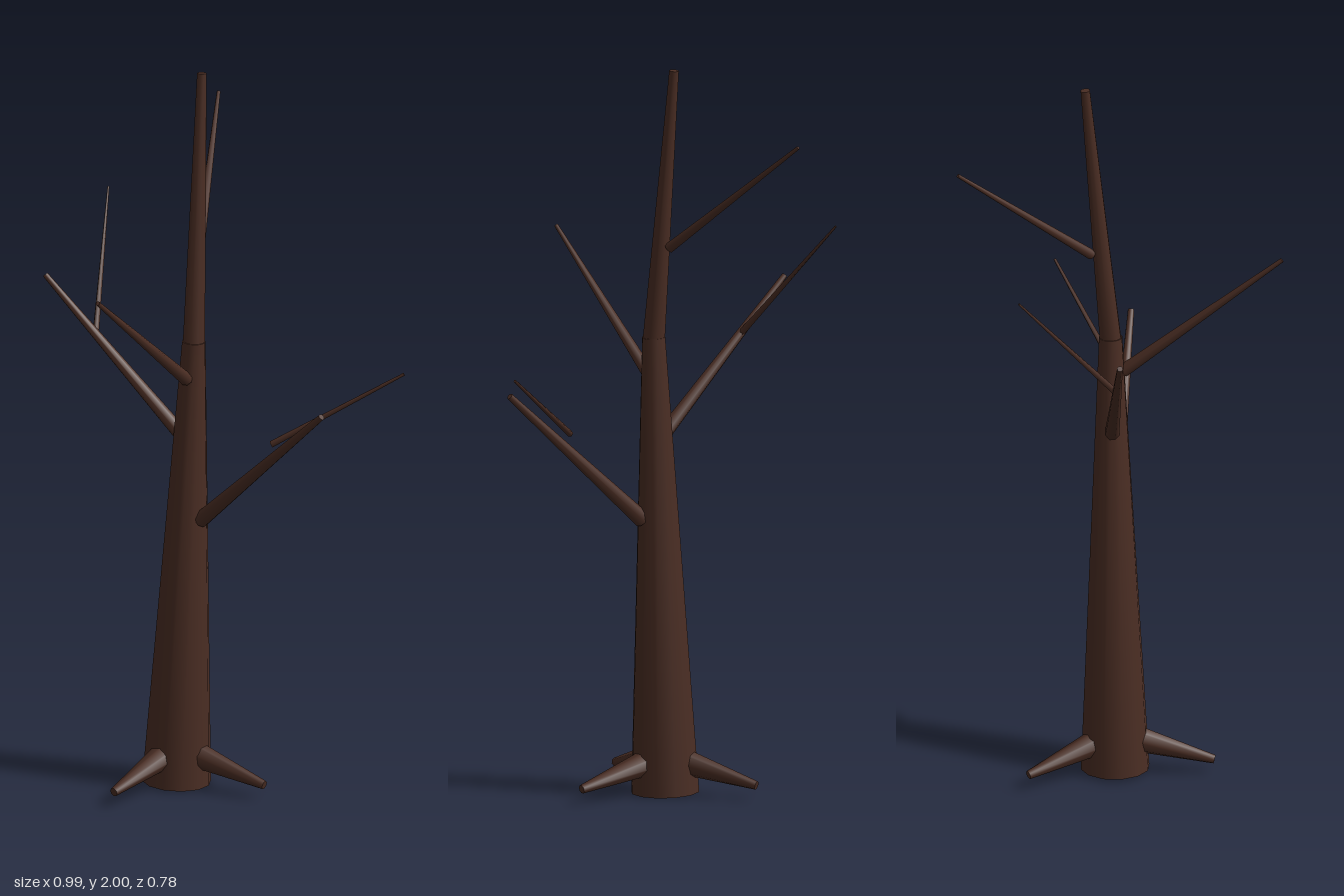
import * as THREE from 'three';

export function createModel() {
  const group = new THREE.Group();
  const bark = new THREE.MeshStandardMaterial({ color: 0x4a2d23 });
  bark.name = 'bark';
  const up = new THREE.Vector3(0, 1, 0);

  // Tapered limb running from one point to another
  function limb(name, from, to, r0, r1, sides = 8) {
    const a = new THREE.Vector3(...from);
    const dir = new THREE.Vector3(...to).sub(a);
    const length = dir.length();
    const geometry = new THREE.CylinderGeometry(r1, r0, length, sides);
    geometry.translate(0, length / 2, 0);
    const mesh = new THREE.Mesh(geometry, bark);
    mesh.name = name;
    mesh.position.copy(a);
    mesh.quaternion.setFromUnitVectors(up, dir.normalize());
    group.add(mesh);
  }

  // Trunk in two leaning sections
  limb('lowerTrunk', [-0.047, 0.006, -0.03], [-0.006, 1.26, -0.057], 0.094, 0.032, 12);
  limb('upperTrunk', [-0.006, 1.25, -0.057], [-0.045, 2, -0.116], 0.03, 0.013, 10);

  // Main branches
  limb('rightBranch', [-0.03, 0.98, -0.045], [-0.43, 1.375, 0.117], 0.021, 0.008);
  limb('leftBranch', [0.025, 0.76, -0.055], [0.43, 1.138, -0.15], 0.023, 0.009);
  limb('frontBranch', [0.003, 1.16, -0.025], [0.132, 1.495, 0.385], 0.018, 0.006);
  limb('backBranch', [-0.035, 1.51, -0.1], [-0.312, 1.822, -0.387], 0.014, 0.005);

  // Thin side twigs
  limb('rightTwig', [-0.288, 1.235, 0.056], [-0.492, 1.554, -0.15], 0.009, 0.003, 6);
  limb('leftTwig', [0.25, 1.02, -0.12], [0.489, 1.226, -0.388], 0.009, 0.004, 6);

  // Spreading roots
  const rootTips = [[-0.25, 0.042, -0.207], [0.012, 0.042, 0.234], [0.218, 0.042, -0.122]];
  for (const tip of rootTips) limb('root', [-0.045, 0.105, -0.03], tip, 0.043, 0.012);

  return group;
}
